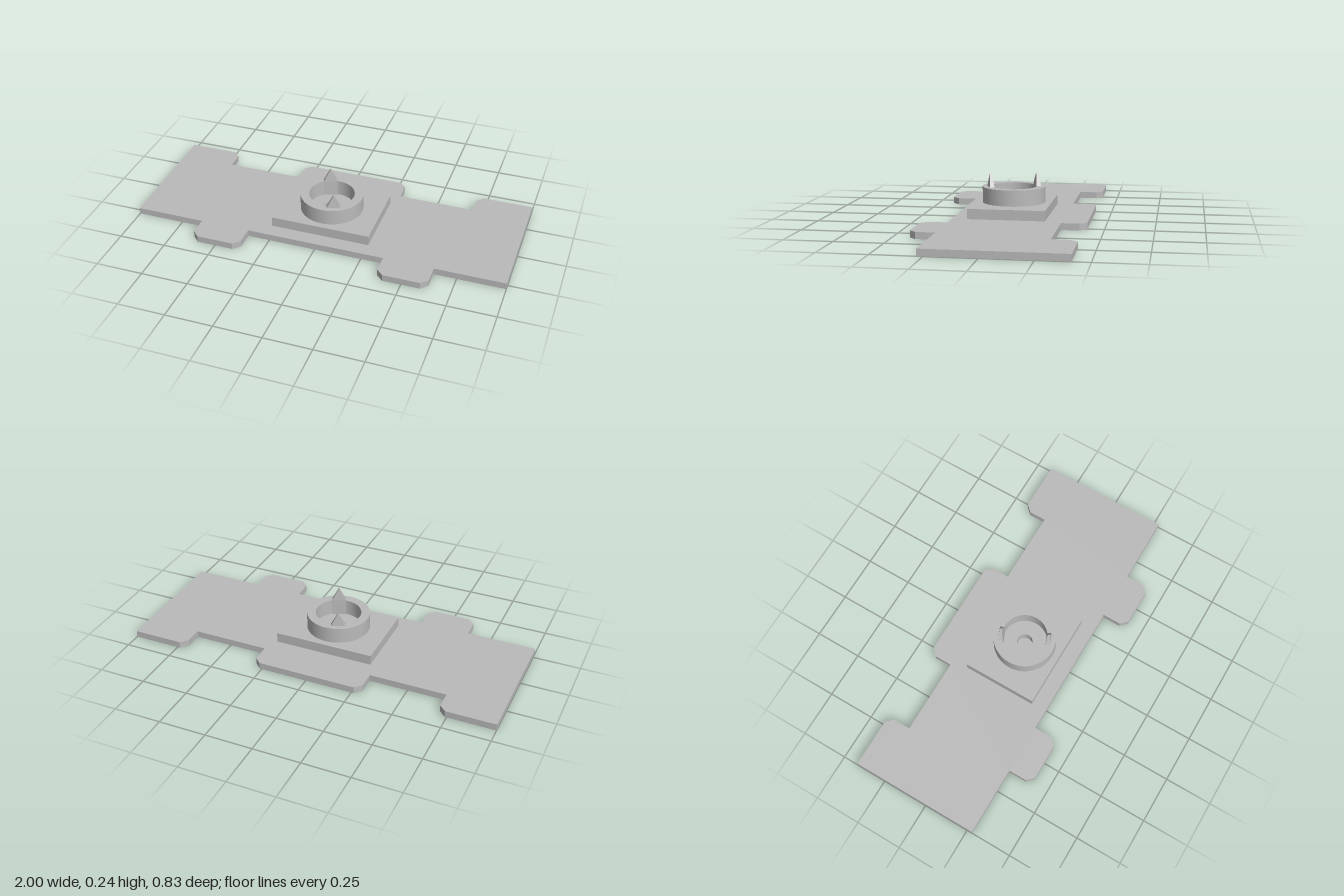
import * as THREE from 'three';
import { toCreasedNormals } from 'three/addons/utils/BufferGeometryUtils.js';

const metal = new THREE.MeshStandardMaterial({ color: 0xbababa });
metal.name = 'plain grey';

const PLATE_TOP = 0.035, SLAB_TOP = 0.088, RING_TOP = 0.172, SPIKE_TOP = 0.24;

// Extrude a plan outline upwards between two heights
function slabFrom(name, shape, y0, y1) {
  const geo = new THREE.ExtrudeGeometry(shape, { depth: y1 - y0, bevelEnabled: false, curveSegments: 32 });
  geo.rotateX(-Math.PI / 2);
  geo.translate(0, y0, 0);
  const mesh = new THREE.Mesh(toCreasedNormals(geo, 0.5), metal);
  mesh.name = name;
  return mesh;
}

function circle(r, Type = THREE.Shape) {
  const c = new Type();
  c.absarc(0, 0, r, 0, Math.PI * 2, false);
  return c;
}

// Plan outline of the base plate, with chamfered tabs (y of the shape is -z)
function plateShape() {
  const c = 0.035, front = -0.28, tabFront = -0.414, back = 0.285, tabBack = 0.414;
  const pts = [[-1, front]];
  for (const x of [-0.5, 0.5]) {
    const a = x - 0.132, b = x + 0.132;
    pts.push([a, front], [a, tabFront + c], [a + c, tabFront], [b - c, tabFront], [b, tabFront + c], [b, front]);
  }
  pts.push([1, front], [1, tabBack], [0.7 + c, tabBack], [0.7, tabBack - c], [0.7, back]);
  pts.push([0.297, back], [0.297, tabBack - c], [0.297 - c, tabBack]);
  pts.push([-0.297 + c, tabBack], [-0.297, tabBack - c], [-0.297, back]);
  pts.push([-0.705, back], [-0.705, tabBack - c], [-0.705 - c, tabBack], [-1, tabBack]);
  return new THREE.Shape(pts.map(([x, y]) => new THREE.Vector2(x, y)));
}

// Upright tooth: straight below the rim, tapering to a narrow ridge above it
function spike() {
  const levels = [
    { y: SLAB_TOP, w: 0.075, t: 0.026 },
    { y: RING_TOP, w: 0.073, t: 0.024 },
    { y: SPIKE_TOP, w: 0.003, t: 0.011 },
  ];
  const box = new THREE.BoxGeometry(1, 2, 1, 1, 2, 1);
  const p = box.attributes.position;
  for (let i = 0; i < p.count; i++) {
    const l = levels[Math.round(p.getY(i)) + 1];
    p.setXYZ(i, p.getX(i) * l.w, l.y, p.getZ(i) * l.t);
  }
  const geo = box.toNonIndexed();
  geo.computeVertexNormals();
  return new THREE.Mesh(geo, metal);
}

export function createModel() {
  const model = new THREE.Group();
  model.name = 'mountingPlate';

  model.add(slabFrom('basePlate', plateShape(), 0, PLATE_TOP));

  // Raised pad with a small central bore
  const pad = new THREE.Shape([[-0.265, -0.2], [0.265, -0.2], [0.265, 0.2], [-0.265, 0.2]]
    .map(([x, y]) => new THREE.Vector2(x, y)));
  pad.holes.push(circle(0.042, THREE.Path));
  model.add(slabFrom('raisedPad', pad, PLATE_TOP, SLAB_TOP));

  // Open collar
  const ring = circle(0.166);
  ring.holes.push(circle(0.12, THREE.Path));
  model.add(slabFrom('collarRing', ring, SLAB_TOP, RING_TOP));

  // Two opposite spikes against the collar's inner wall
  for (const [name, side] of [['frontSpike', 1], ['backSpike', -1]]) {
    const s = spike();
    s.name = name;
    s.position.set(0.048 * side, 0, 0.116 * side);
    s.rotation.y = Math.atan2(0.048, 0.116);
    model.add(s);
  }
  return model;
}
